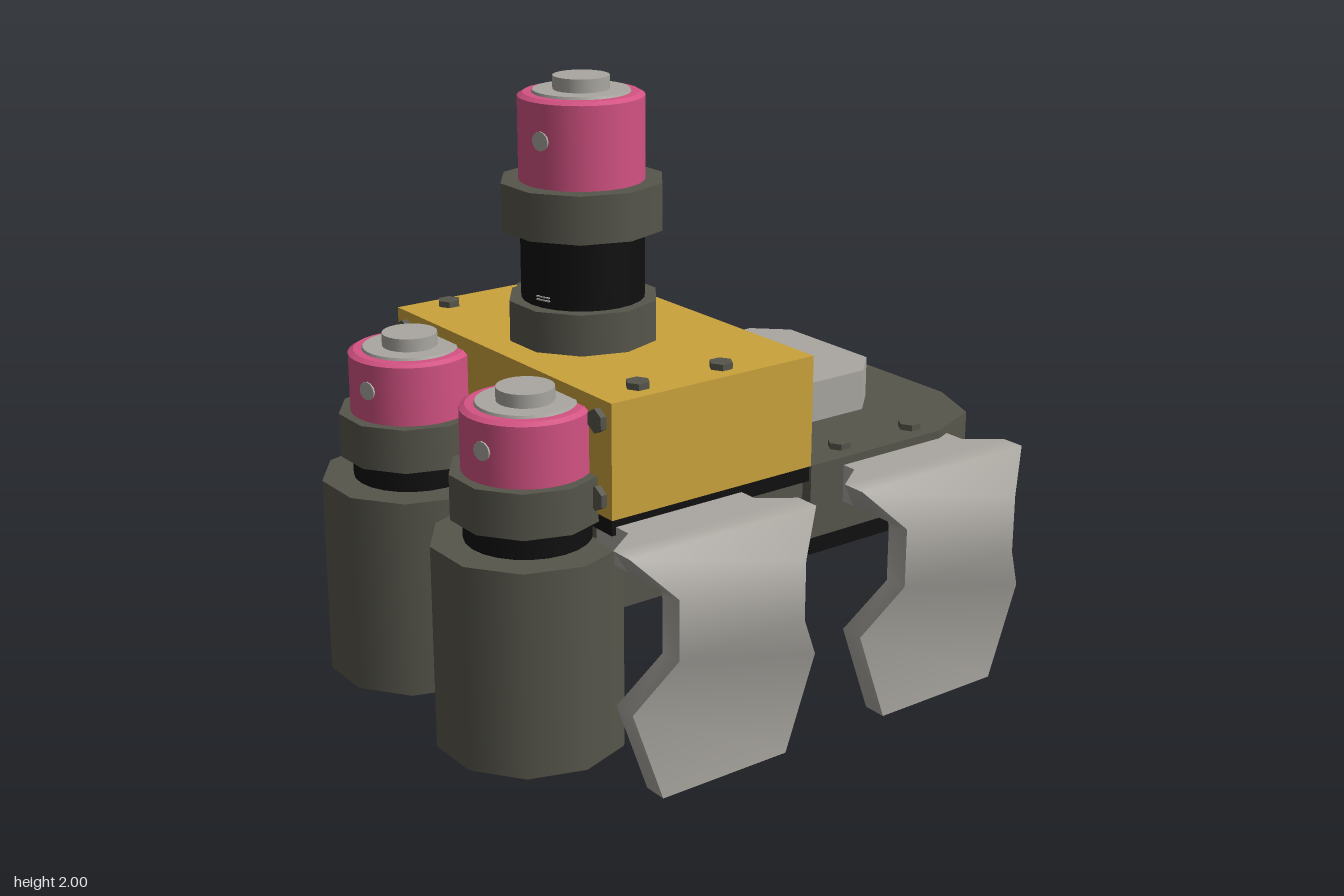
import * as THREE from 'three';
import { toCreasedNormals } from 'three/addons/utils/BufferGeometryUtils.js';

export function createModel() {
  const root = new THREE.Group();
  const mat = (name, color) => {
    const m = new THREE.MeshStandardMaterial({ color });
    m.name = name;
    return m;
  };
  const yellow = mat('yellow', 0xcba33c);
  const dark = mat('darkGrey', 0x57564c);
  const black = mat('black', 0x101010);
  const silver = mat('silver', 0xaaa7a1);
  const pink = mat('pink', 0xd35282);

  const add = (name, geo, material, x = 0, y = 0, z = 0, parent = root) => {
    const m = new THREE.Mesh(geo, material);
    m.name = name;
    m.position.set(x, y, z);
    parent.add(m);
    return m;
  };
  // box given by its extents
  const box = (name, material, x0, x1, y0, y1, z0, z1) =>
    add(name, new THREE.BoxGeometry(x1 - x0, y1 - y0, z1 - z0), material,
      (x0 + x1) / 2, (y0 + y1) / 2, (z0 + z1) / 2);
  // upright prism from an outline in x,z
  const slab = (name, material, pts, y0, y1) => {
    const shape = new THREE.Shape(pts.map(([x, z]) => new THREE.Vector2(x, z)));
    const geo = new THREE.ExtrudeGeometry(shape, { depth: y1 - y0, bevelEnabled: false });
    geo.rotateX(Math.PI / 2);
    return add(name, geo, material, 0, y1, 0);
  };
  const mirrored = (half) => [...half, ...half.map(([x, z]) => [-x, z]).reverse()];
  // round part between two heights
  const drum = (parent, name, material, r0, r1, y0, y1, sides) =>
    add(name, new THREE.CylinderGeometry(r1, r0, y1 - y0, sides, 1, false, Math.PI / 2),
      material, 0, (y0 + y1) / 2, 0, parent);

  // rear base with chamfered corners and a black lower rim
  const outline = mirrored([[0.61, -0.17], [0.61, -0.72], [0.53, -0.92], [0.33, -1]]);
  slab('rearBase', dark, outline, 0.57, 0.815);
  slab('rearBaseRim', black, outline, 0.515, 0.57);
  slab('rearBaseUnderside', dark,
    mirrored([[0.58, -0.17], [0.58, -0.71], [0.51, -0.89], [0.32, -0.965]]), 0.508, 0.516);

  // base under the box
  box('frontBase', dark, -0.57, 0.57, 0.508, 0.765, -0.17, 0.56);
  box('boxGasket', black, -0.6, 0.6, 0.762, 0.815, -0.17, 0.585);

  // raised hatch
  slab('hatch', silver, mirrored([[0.3, -0.38], [0.3, -0.66], [0.2, -0.765]]), 0.81, 0.952);
  box('hatchEdge', dark, -0.3, 0.3, 0.81, 0.952, -0.38, -0.31);

  // main box
  box('mainBox', yellow, -0.608, 0.608, 0.814, 1.175, -0.17, 0.59);

  // hexagonal bolts
  const boltGeo = new THREE.CylinderGeometry(0.038, 0.038, 0.04, 6).toNonIndexed();
  boltGeo.computeVertexNormals();
  for (const s of [-1, 1]) {
    for (const z of [0.13, 0.44]) add('topBolt', boltGeo, dark, s * 0.53, 1.175, z);
    for (const z of [-0.66, -0.355]) add('baseBolt', boltGeo, dark, s * 0.53, 0.815, z);
    for (const y of [0.87, 1.11]) {
      for (const z of [-0.17, 0.59]) {
        add('sideBolt', boltGeo, dark, s * 0.55, y, z).rotation.x = Math.PI / 2;
      }
    }
  }

  // pink cap with silver end and knob, standing at height y
  const cap = (g, y, h) => {
    const top = y + h;
    drum(g, 'cap', pink, 0.197, 0.197, y, top, 32);
    drum(g, 'capBevel', pink, 0.197, 0.18, top, top + 0.01, 32);
    drum(g, 'capEnd', silver, 0.157, 0.15, top, top + 0.018, 32);
    drum(g, 'capKnob', silver, 0.088, 0.088, top, top + 0.06, 24);
    const a = 0.29;
    const dot = add('capMark', new THREE.CylinderGeometry(0.03, 0.03, 0.008, 12), silver,
      Math.sin(a) * 0.197, y + h * 0.6 - 0.01, Math.cos(a) * 0.197, g);
    dot.rotation.set(Math.PI / 2, 0, -a);
  };
  const tower = (name, x, z) => {
    const g = new THREE.Group();
    g.name = name;
    g.position.set(x, 0, z);
    root.add(g);
    return g;
  };

  // central tower
  const t = tower('centreTower', 0, 0.265);
  drum(t, 'towerFoot', dark, 0.24, 0.24, 1.17, 1.305, 10);
  drum(t, 'towerNeck', black, 0.195, 0.195, 1.3, 1.535, 24);
  drum(t, 'towerCollar', dark, 0.26, 0.26, 1.53, 1.68, 10);
  cap(t, 1.68, 0.26);
  for (const y of [1.33, 1.34]) {
    add('neckMark', new THREE.BoxGeometry(0.05, 0.004, 0.008), silver, 0.055, y, 0.187, t)
      .rotation.y = 0.29;
  }

  // front canisters
  for (const s of [-1, 1]) {
    const g = tower('frontCanister', s * 0.335, 0.705);
    drum(g, 'canisterBody', dark, 0.3, 0.3, 0.052, 0.71, 10);
    drum(g, 'canisterNeck', black, 0.195, 0.195, 0.7, 0.8, 24);
    drum(g, 'canisterCollar', dark, 0.237, 0.237, 0.787, 0.93, 10);
    cap(g, 0.93, 0.19);
  }

  // legs: stations of outer x, y, half width, then inner x, y, half width
  const stations = [
    [0.5, 0.788, 0.235, 0.5, 0.665, 0.235],
    [0.66, 0.788, 0.235, 0.66, 0.665, 0.235],
    [0.74, 0.788, 0.345, 0.75, 0.665, 0.235],
    [0.82, 0.788, 0.345, 0.822, 0.665, 0.235],
    [0.907, 0.667, 0.235, 0.826, 0.64, 0.235],
    [0.907, 0.475, 0.235, 0.826, 0.47, 0.235],
    [0.832, 0.305, 0.345, 0.752, 0.305, 0.345],
    [0.832, 0, 0.235, 0.752, 0, 0.235],
  ];
  const pos = [];
  const idx = [];
  for (const [ox, oy, ow, ix, iy, iw] of stations) {
    pos.push(ox, oy, ow, ox, oy, -ow, ix, iy, -iw, ix, iy, iw);
  }
  const quad = (a, b, c, d) => idx.push(a, b, c, a, c, d);
  const last = (stations.length - 1) * 4;
  for (let i = 0; i < last; i += 4) {
    for (let j = 0; j < 4; j++) {
      const k = (j + 1) % 4;
      quad(i + j, i + 4 + j, i + 4 + k, i + k);
    }
  }
  quad(0, 1, 2, 3);
  quad(last, last + 3, last + 2, last + 1);
  let legGeo = new THREE.BufferGeometry();
  legGeo.setAttribute('position', new THREE.Float32BufferAttribute(pos, 3));
  legGeo.setIndex(idx);
  legGeo = toCreasedNormals(legGeo, 1.0);
  for (const z of [0.335, -0.54]) {
    add('leftLeg', legGeo, silver, 0, 0, z);
    add('rightLeg', legGeo, silver, 0, 0, z).rotation.y = Math.PI;
  }

  return root;
}
